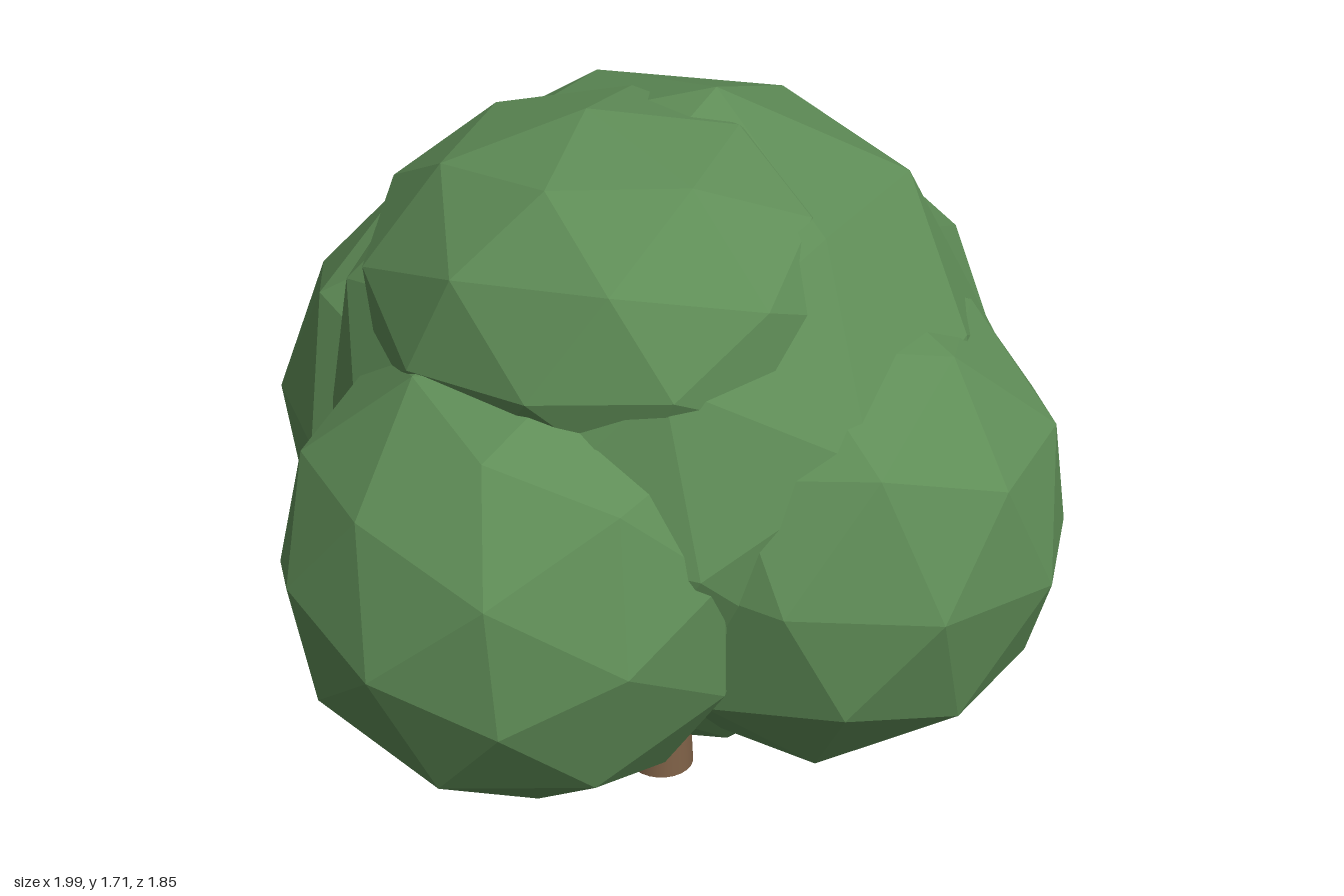
import * as THREE from 'three';

const foliageGreen = new THREE.MeshStandardMaterial({ color: 0x5f8d57 });
const barkBrown = new THREE.MeshStandardMaterial({ color: 0x7f6147 });

// Replace the shared smooth normals with one normal per facet
function faceted(geometry) {
  const flat = geometry.index ? geometry.toNonIndexed() : geometry;
  flat.computeVertexNormals();
  return flat;
}

// One clump of leaves: a low-poly ball, spun and tilted, then stretched by its radii
function leafClump(name, centre, radii, tilt) {
  const geometry = new THREE.IcosahedronGeometry(1, 1);
  geometry.applyMatrix4(new THREE.Matrix4().makeRotationFromEuler(new THREE.Euler(...tilt, 'XZY')));
  geometry.scale(...radii);
  const mesh = new THREE.Mesh(faceted(geometry), foliageGreen);
  mesh.name = name;
  mesh.position.set(...centre);
  return mesh;
}

export function createModel() {
  const tree = new THREE.Group();
  tree.name = 'tree';

  // Tapered round trunk, reaching up into the crown
  const trunk = new THREE.Mesh(new THREE.CylinderGeometry(0.045, 0.075, 0.6, 24), barkBrown);
  trunk.name = 'trunk';
  trunk.position.set(0.005, 0.3, -0.005);
  tree.add(trunk);

  // Crown: a large core, a flattened cap and four clumps around the sides
  const crown = new THREE.Group();
  crown.name = 'crown';
  const clumps = [
    ['crownCore', [0, 0.96, 0], [0.74, 0.735, 0.74], [0.1, 0.18, -0.12]],
    ['crownCap', [-0.18, 1.31, 0], [0.5, 0.4, 0.54], [-0.08, 0.3, 0.03]],
    ['rightClump', [-0.49, 0.82, 0.01], [0.51, 0.52, 0.52], [0.3, 0.04, 0.04]],
    ['leftClump', [0.49, 0.845, -0.045], [0.51, 0.53, 0.52], [0.15, -0.12, 0.08]],
    ['frontClump', [0.025, 0.83, 0.41], [0.54, 0.54, 0.52], [0.11, 0.14, 0.4]],
    ['backClump', [0.01, 0.85, -0.41], [0.55, 0.54, 0.52], [0, 0.04, 0.45]],
  ];
  for (const clump of clumps) crown.add(leafClump(...clump));
  tree.add(crown);

  return tree;
}
